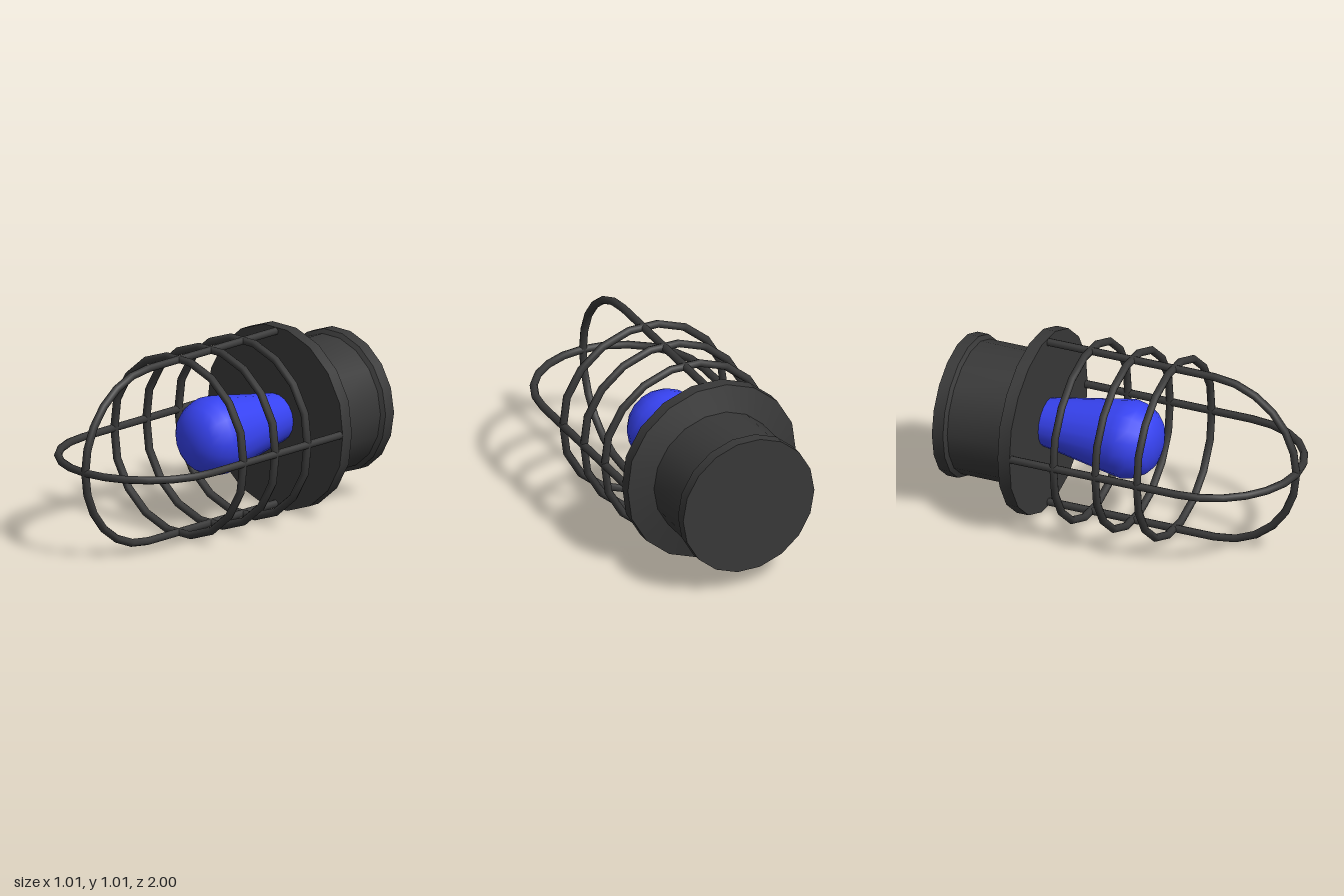
import * as THREE from 'three';
import { toCreasedNormals } from 'three/addons/utils/BufferGeometryUtils.js';

const SIDES = 18;
const AXIS_Y = 0.507; // height of the lamp's axis
const CAGE_R = 0.485; // centre line of the hoops
const WIRE_R = 0.022;
const MAX_X = 0.507;

const dark = new THREE.MeshStandardMaterial({ color: 0x383838 });
const blue = new THREE.MeshStandardMaterial({ color: 0x3743f2 });

// Curve that passes straight from point to point, with mitred corners
class Polyline extends THREE.Curve {
  constructor(points, closed) {
    super();
    this.points = points;
    this.closed = closed;
    this.count = closed ? points.length : points.length - 1;
  }
  at(i) {
    const n = this.points.length;
    return this.closed ? this.points[(i + n) % n] : this.points[THREE.MathUtils.clamp(i, 0, n - 1)];
  }
  getPoint(t, target = new THREE.Vector3()) {
    return target.copy(this.at(Math.round(t * this.count)));
  }
  getPointAt(u, target) {
    return this.getPoint(u, target);
  }
  getTangentAt(u, target = new THREE.Vector3()) {
    const i = Math.round(u * this.count);
    const a = this.at(i).clone().sub(this.at(i - 1)).normalize();
    const b = this.at(i + 1).clone().sub(this.at(i)).normalize();
    return target.copy(a.add(b)).normalize();
  }
}

function wire(points, closed) {
  const path = new Polyline(points, closed);
  return new THREE.TubeGeometry(path, path.count, WIRE_R, 8, closed);
}

// Turned part around the z axis; profile is [radius, z] from back to front
function turned(profile, crease) {
  const pts = profile.map(([r, z]) => new THREE.Vector2(r, z));
  const geo = new THREE.LatheGeometry(pts, SIDES, Math.PI / 2);
  geo.rotateX(Math.PI / 2);
  const pos = geo.attributes.position;
  for (let i = 0; i < pos.count; i++) {
    pos.setX(i, THREE.MathUtils.clamp(pos.getX(i), -MAX_X, MAX_X));
  }
  return toCreasedNormals(geo, crease);
}

export function createModel() {
  const model = new THREE.Group();
  const add = (name, geometry, material = dark) => {
    const mesh = new THREE.Mesh(geometry, material);
    mesh.name = name;
    mesh.position.y = AXIS_Y;
    model.add(mesh);
    return mesh;
  };

  // Socket with end collar, neck, sloped shoulder and flange
  add('socket', turned([
    [0, -1], [0.396, -1], [0.396, -0.935], [0.372, -0.92], [0.372, -0.603],
    [0.515, -0.56], [0.515, -0.49], [0, -0.49],
  ], 0.5));

  // Bulb: tapered neck and rounded end
  add('bulb', turned([
    [0.133, -0.5], [0.213, -0.05], [0.218, -0.01], [0.205, 0.05],
    [0.178, 0.1], [0.137, 0.139], [0.075, 0.163], [0, 0.17],
  ], 1.2), blue);

  // Cage rings
  for (const z of [-0.24, 0.008, 0.255]) {
    const points = [];
    for (let i = 0; i < SIDES; i++) {
      const a = (i / SIDES) * Math.PI * 2;
      const x = THREE.MathUtils.clamp(0.493 * Math.cos(a), -CAGE_R, CAGE_R);
      points.push(new THREE.Vector3(x, 0.493 * Math.sin(a), z));
    }
    add('cageRing', wire(points, true));
  }

  // Two crossing hoops: straight legs joined by a half circle
  const hoop = [new THREE.Vector3(CAGE_R, 0, -0.52)];
  for (let i = 0; i <= 12; i++) {
    const a = (i / 12) * Math.PI;
    hoop.push(new THREE.Vector3(CAGE_R * Math.cos(a), 0, 0.493 + CAGE_R * Math.sin(a)));
  }
  hoop.push(new THREE.Vector3(-CAGE_R, 0, -0.52));
  const hoopGeometry = wire(hoop, false);
  add('horizontalHoop', hoopGeometry);
  add('verticalHoop', hoopGeometry).rotation.z = Math.PI / 2;

  return model;
}
